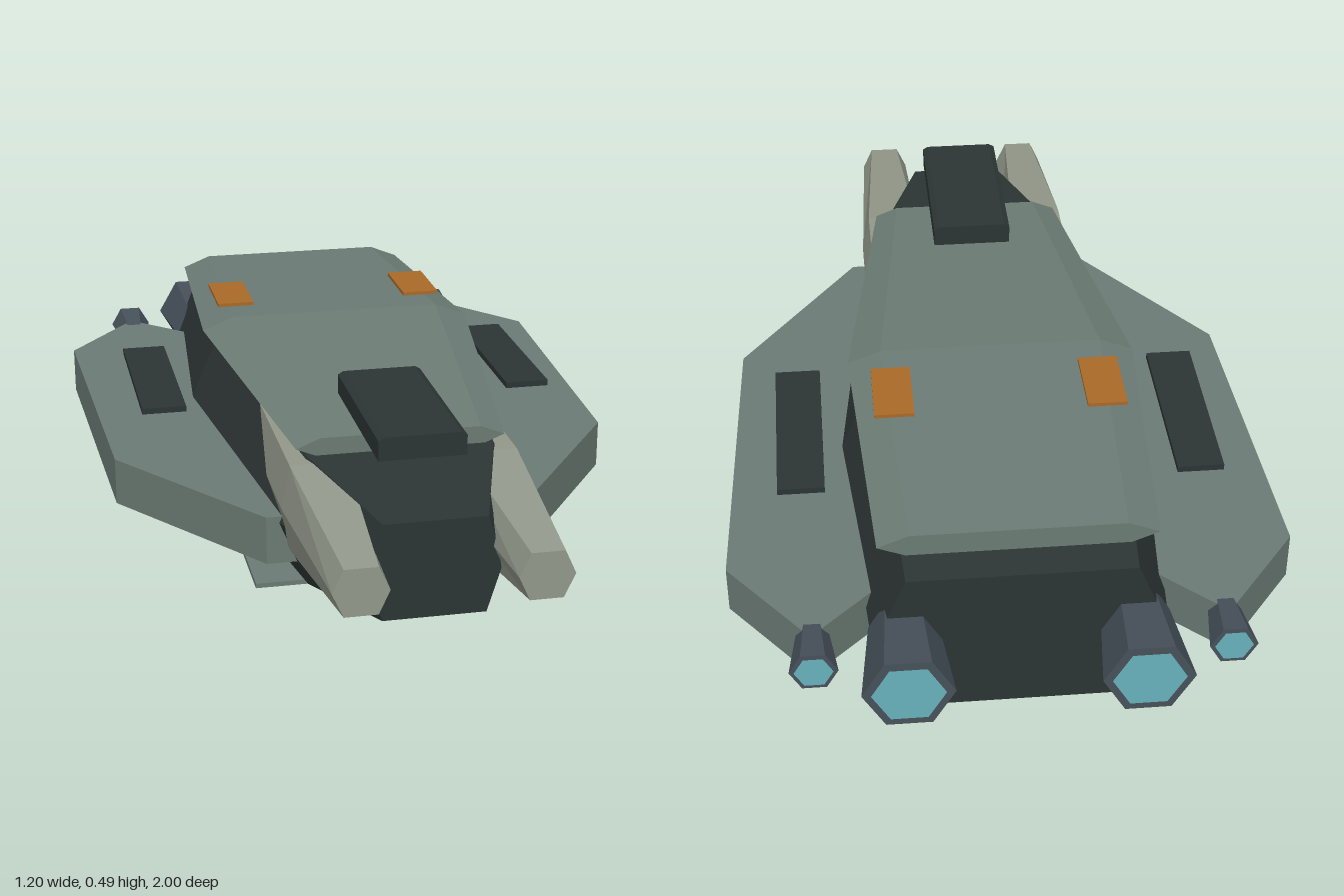
import * as THREE from 'three';

const mat = (name, color) => {
  const m = new THREE.MeshStandardMaterial({ color, flatShading: true });
  m.name = name;
  return m;
};

// Six-sided ring, counter-clockwise seen from +z: wide at mid height, flat top and bottom
const ring = ({ z, w, y0, y1, ym = (y0 + y1) / 2, r = 0.77, cx = 0 }) => [
  [w, ym], [w * r, y1], [-w * r, y1], [-w, ym], [-w * r, y0], [w * r, y0],
].map(([x, y]) => [cx + x, y, z]);

// Closed hull through hexagonal sections, listed from back to front
function loft(sections) {
  const rings = sections.map(ring);
  const pos = [];
  const tri = (a, b, c) => pos.push(...a, ...b, ...c);
  for (let i = 0; i < rings.length - 1; i++) {
    for (let k = 0; k < 6; k++) {
      const n = (k + 1) % 6;
      const [a, b, c, d] = [rings[i][k], rings[i][n], rings[i + 1][n], rings[i + 1][k]];
      tri(a, b, c);
      tri(a, c, d);
    }
  }
  const back = rings[0], front = rings[rings.length - 1];
  for (let k = 1; k < 5; k++) {
    tri(back[0], back[k + 1], back[k]);
    tri(front[0], front[k], front[k + 1]);
  }
  const g = new THREE.BufferGeometry();
  g.setAttribute('position', new THREE.Float32BufferAttribute(pos, 3));
  g.computeVertexNormals();
  return g;
}

export function createModel() {
  const armour = mat('grey green armour', 0x6b7b74);
  const dark = mat('dark hull', 0x2c3534);
  const pale = mat('pale prong', 0x92988a);
  const steel = mat('blue steel', 0x465059);
  const glow = mat('engine glow', 0x68b0bc);
  const orange = mat('orange marking', 0xaa6a28);

  const model = new THREE.Group();
  model.name = 'dropship';
  const add = (name, geometry, material) => {
    const mesh = new THREE.Mesh(geometry, material);
    mesh.name = name;
    model.add(mesh);
    return mesh;
  };
  // Box given by its min and max on each axis
  const box = (name, material, x0, x1, y0, y1, z0, z1) => {
    const mesh = add(name, new THREE.BoxGeometry(x1 - x0, y1 - y0, z1 - z0), material);
    mesh.position.set((x0 + x1) / 2, (y0 + y1) / 2, (z0 + z1) / 2);
  };

  // Central hull and the armour deck on top of it
  add('hull', loft([
    { z: -0.85, w: 0.305, y0: 0.045, y1: 0.385 },
    { z: -0.22, w: 0.35, y0: 0.01, y1: 0.43, ym: 0.235 },
    { z: 0.54, w: 0.262, y0: 0.088, y1: 0.382 },
    { z: 0.845, w: 0.14, y0: 0.14, y1: 0.35 },
  ]), dark);
  add('topDeck', loft([
    { z: -0.775, w: 0.288, y0: 0.387, y1: 0.44 },
    { z: -0.16, w: 0.322, y0: 0.408, y1: 0.467 },
    { z: 0.54, w: 0.225, y0: 0.378, y1: 0.42 },
  ]), armour);

  // Box with bevelled upper edges above the nose
  const pod = new THREE.Shape([
    [-0.092, 0.437], [0.092, 0.437], [0.092, 0.48], [0.08, 0.487], [-0.08, 0.487], [-0.092, 0.48],
  ].map(([x, y]) => new THREE.Vector2(x, y)));
  const podGeometry = new THREE.ExtrudeGeometry(pod, { depth: 0.405, bevelEnabled: false });
  podGeometry.translate(0, 0, 0.325);
  add('nosePod', podGeometry, dark);

  for (const s of [1, -1]) {
    const side = s > 0 ? 'left' : 'right';
    const mirrorBox = (name, material, x0, x1, ...rest) =>
      box(side + name, material, Math.min(s * x0, s * x1), Math.max(s * x0, s * x1), ...rest);

    // Side sponson, outlined in plan and extruded upwards
    const outline = [[0.15, 0.54], [0.29, 0.54], [0.57, 0.15], [0.602, -0.625], [0.43, -0.845], [0.3, -0.72], [0.15, -0.72]];
    const wing = new THREE.ExtrudeGeometry(
      new THREE.Shape(outline.map(([x, z]) => new THREE.Vector2(s * x, -z))),
      { depth: 0.107, bevelEnabled: false });
    wing.rotateX(-Math.PI / 2).translate(0, 0.143, 0);
    add(side + 'Sponson', wing, armour);

    // Tapered front prong
    const cx = s * 0.184;
    add(side + 'Prong', loft([
      { z: 0.1, w: 0.078, y0: 0.185, y1: 0.376, cx },
      { z: 0.57, w: 0.078, y0: 0.183, y1: 0.376, cx },
      { z: 1, w: 0.057, y0: 0.235, y1: 0.335, r: 0.6, cx },
    ]), pale);

    // Flared engines with a glowing disc at the nozzle
    const engine = (name, x, y, r0, r1, z0, z1) => {
      const h = 0.866;
      add(side + name, loft([
        { z: z1, w: r1, y0: y - r1 * h, y1: y + r1 * h, r: 0.5, cx: s * x },
        { z: z0, w: r0, y0: y - r0 * h, y1: y + r0 * h, r: 0.5, cx: s * x },
      ]), steel);
      const disc = add(side + name + 'Glow', new THREE.CircleGeometry(r1 * 0.8, 6), glow);
      disc.rotation.y = Math.PI;
      disc.position.set(s * x, y, z1 - 0.002);
    };
    engine('MainEngine', 0.24, 0.224, 0.072, 0.094, -0.8, -0.998);
    engine('SmallEngine', 0.426, 0.22, 0.03, 0.05, -0.775, -0.915);

    // Raised panels, markings and belly plates
    mirrorBox('SponsonPanel', dark, 0.387, 0.49, 0.296, 0.31, -0.44, 0);
    mirrorBox('DeckMarking', orange, 0.187, 0.273, 0.468, 0.476, -0.413, -0.24);
    mirrorBox('BellyPlate', armour, 0.02, 0.288, 0.005, 0.016, -0.48, 0.37);
    mirrorBox('BellyStripe', orange, 0.147, 0.163, 0, 0.005, -0.35, 0.24);
  }
  return model;
}
